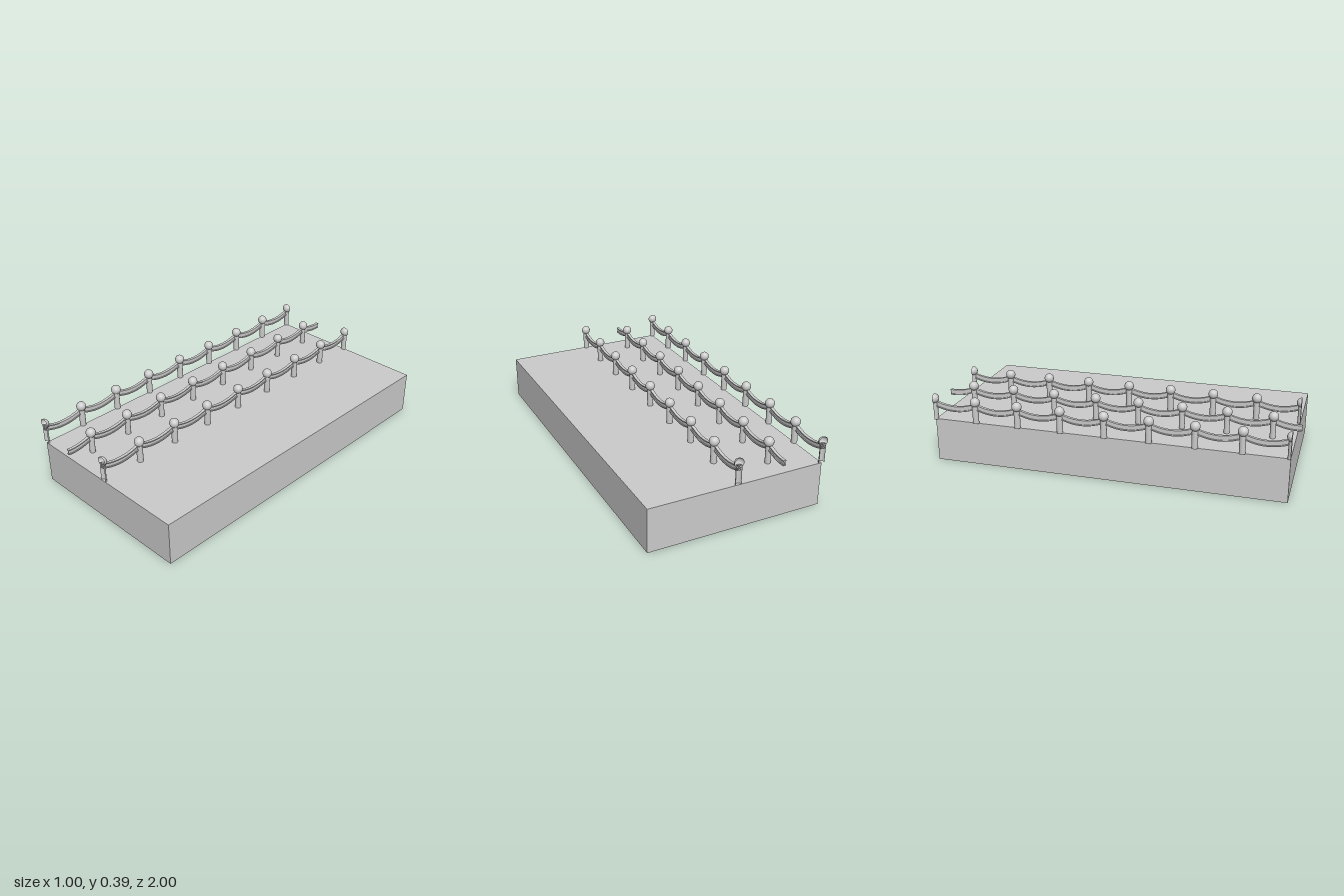
import * as THREE from 'three';

const TOP = 0.245, STEP = 0.2433, ZC = -0.002, HALF = STEP * 4;
const mat = new THREE.MeshStandardMaterial({ color: 0xcccccc, side: THREE.DoubleSide });

function add(parent, geo, name, x = 0, y = 0, z = 0) {
  const m = new THREE.Mesh(geo, mat);
  m.name = name;
  m.position.set(x, y, z);
  parent.add(m);
  return m;
}

// I-shaped rail section, centred on its own axis
function railShape() {
  const w = 0.0085, h = 0.0155, t = 0.006, b = 0.003;
  return new THREE.Shape([
    [-w, -h], [w, -h], [w, -h + t], [b, -h + t], [b, h - t], [w, h - t],
    [w, h], [-w, h], [-w, h - t], [-b, h - t], [-b, -h + t], [-w, -h + t],
  ].map(([x, y]) => new THREE.Vector2(x, y)));
}

// One swag from z0 to z1, hanging from a post at zPost and the next one
function swag(z0, z1, zPost) {
  const geo = new THREE.ExtrudeGeometry(railShape(), { depth: z1 - z0, steps: 10, bevelEnabled: false });
  geo.translate(0, 0, z0);
  const p = geo.attributes.position;
  for (let i = 0; i < p.count; i++) {
    const u = (p.getZ(i) - zPost) / STEP * 2 - 1;
    p.setY(i, p.getY(i) + 0.315 + 0.026 * u * u);
  }
  geo.computeVertexNormals();
  return geo;
}

// Post with ball; cut = 1 or -1 halves it at the front or back edge
function post(x, z, cut, r) {
  const g = new THREE.Group();
  g.name = 'post';
  const len = cut ? Math.PI : Math.PI * 2;
  const theta = cut > 0 ? Math.PI / 2 : -Math.PI / 2;
  const phi = cut > 0 ? Math.PI : 0;
  const n = cut ? 10 : 20;
  add(g, new THREE.CylinderGeometry(r, r, 0.105, n, 1, true, theta, len), 'postShaft', 0, TOP + 0.0525, 0);
  add(g, new THREE.SphereGeometry(0.027, n, 14, phi, len), 'postBall', 0, 0.365, 0);
  g.position.set(x, 0, z);
  return g;
}

function fence(name, x, staggered) {
  const g = new THREE.Group();
  g.name = name;
  const count = staggered ? 8 : 9;
  const first = ZC - (count - 1) / 2 * STEP;
  for (let i = 0; i < count; i++) {
    const z = first + i * STEP;
    const cut = staggered ? 0 : i === 0 ? -1 : i === count - 1 ? 1 : 0;
    g.add(post(x, z, cut, staggered ? 0.0155 : 0.017));
    if (i < count - 1) add(g, swag(z, z + STEP, z), 'rail', x);
  }
  // loose rail ends overhanging the base
  if (staggered) {
    const last = first + (count - 1) * STEP;
    add(g, swag(last, 1, last), 'railEndFront', x);
    add(g, swag(-1, first, first - STEP), 'railEndBack', x);
  }
  return g;
}

export function createModel() {
  const model = new THREE.Group();
  model.name = 'platformWithRopeFences';

  // Hollow base, open underneath
  const x0 = -0.475, x1 = 0.5, cx = (x0 + x1) / 2;
  const base = new THREE.Group();
  base.name = 'base';
  add(base, new THREE.PlaneGeometry(x1 - x0, HALF * 2), 'deck', cx, TOP, ZC).rotation.x = -Math.PI / 2;
  for (const s of [1, -1]) {
    add(base, new THREE.PlaneGeometry(x1 - x0, TOP), s > 0 ? 'frontWall' : 'backWall', cx, TOP / 2, ZC + s * HALF)
      .rotation.y = s > 0 ? 0 : Math.PI;
    add(base, new THREE.PlaneGeometry(HALF * 2, TOP), s > 0 ? 'leftWall' : 'rightWall', s > 0 ? x1 : x0, TOP / 2, ZC)
      .rotation.y = s * Math.PI / 2;
  }
  model.add(base);

  // Three rows of posts, the middle one staggered by half a span
  model.add(fence('rightFence', -0.475, false));
  model.add(fence('middleFence', -0.232, true));
  model.add(fence('leftFence', 0.012, false));
  return model;
}
